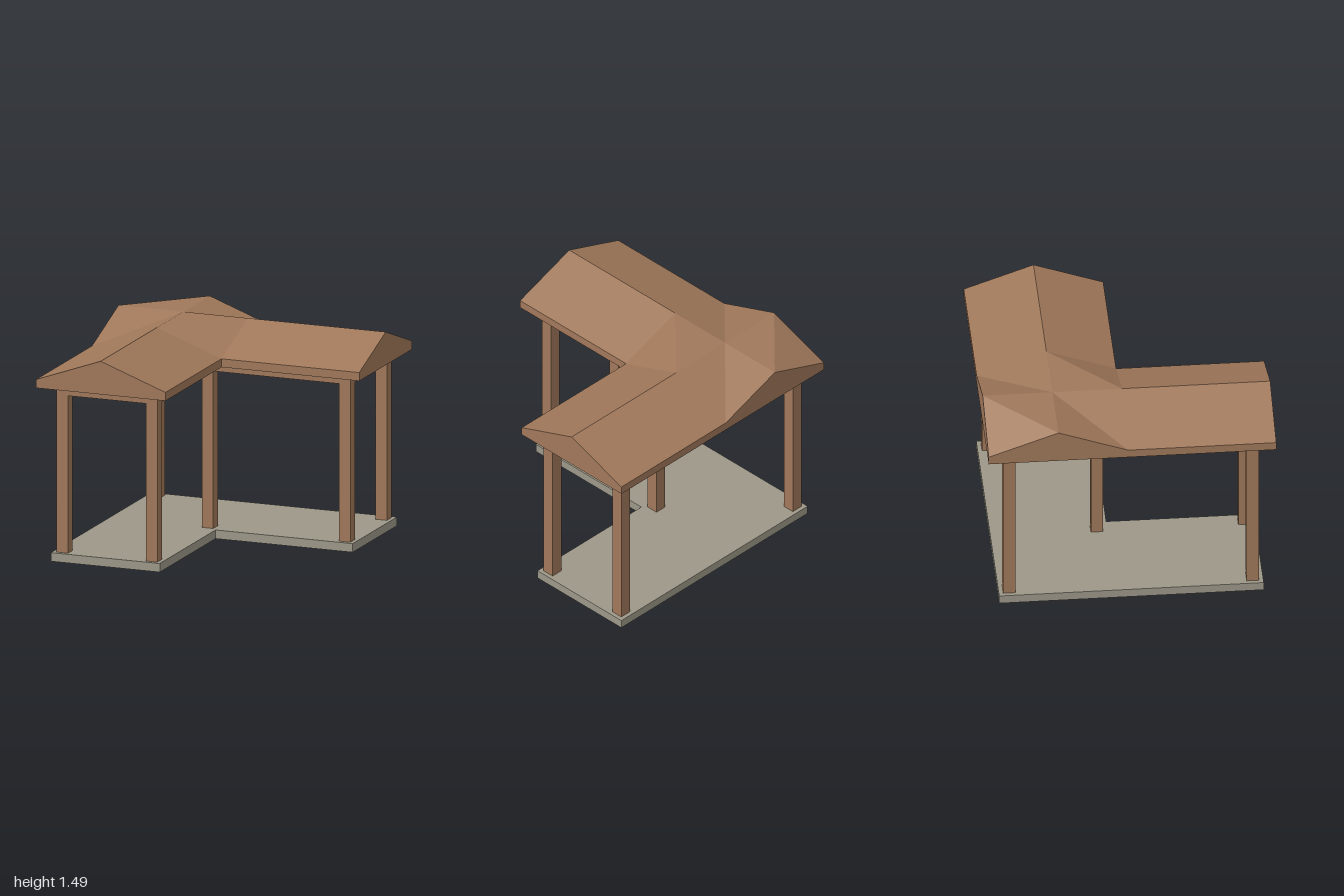
import * as THREE from 'three';

const wood = new THREE.MeshStandardMaterial({ color: 0xa0785a });
wood.name = 'wood brown';
const stone = new THREE.MeshStandardMaterial({ color: 0x9c9788 });
stone.name = 'stone grey';

// Key heights
const SLAB = 0.062, BEAM = 1.187, EAVE = 1.25, FASCIA = 1.31, RIDGE = 1.487;
// Roof plan lines, the same on x and z: outer edge, ridge, inner edge, wing end
const A = -1, M = -0.515, C = -0.03, D = 1;

const add = (parent, name, geometry, material) => {
  const mesh = new THREE.Mesh(geometry, material);
  mesh.name = name;
  parent.add(mesh);
  return mesh;
};

// L-shaped floor slab
function slabGeometry() {
  const o = 0.92, i = -0.105;
  const shape = new THREE.Shape(
    [[-o, -o], [i, -o], [i, -i], [o, -i], [o, o], [-o, o]].map(([x, y]) => new THREE.Vector2(x, y))
  );
  const g = new THREE.ExtrudeGeometry(shape, { depth: SLAB, bevelEnabled: false });
  return g.rotateX(-Math.PI / 2);
}

// Closed L-shaped roof: height depends only on whether a plan point lies on a ridge line
function roofGeometry() {
  const pos = [];
  const tri = (a, b, c) => pos.push(...a, ...b, ...c);
  const top = ([x, z]) => [x, x === M || z === M ? RIDGE : FASCIA, z];
  const base = ([x, z]) => [x, EAVE, z];
  // plan triangle, wound to face up or down
  const planTri = (a, b, c, lift, up) => {
    const ny = (b[1] - a[1]) * (c[0] - a[0]) - (b[0] - a[0]) * (c[1] - a[1]);
    if ((ny > 0) === up) tri(lift(a), lift(b), lift(c));
    else tri(lift(a), lift(c), lift(b));
  };
  const rect = (x0, x1, z0, z1, lift, up) => {
    planTri([x0, z1], [x1, z0], [x0, z0], lift, up);
    planTri([x0, z1], [x1, z0], [x1, z1], lift, up);
  };
  // crossing square: four cells, each creased along its diagonal
  for (const [x0, x1] of [[A, M], [M, C]])
    for (const [z0, z1] of [[A, M], [M, C]]) rect(x0, x1, z0, z1, top, true);
  // wing slopes
  for (const [s, e] of [[A, M], [M, C]]) {
    rect(C, D, s, e, top, true);
    rect(s, e, C, D, top, true);
  }
  // flat underside
  rect(A, D, A, C, base, false);
  rect(A, C, C, D, base, false);
  // fascia and gable walls
  const outline = [[A, D], [M, D], [C, D], [C, C], [D, C], [D, M], [D, A], [C, A], [M, A], [A, A], [A, M], [A, C]];
  outline.forEach((p, i) => {
    const q = outline[(i + 1) % outline.length];
    tri(base(p), base(q), top(q));
    tri(base(p), top(q), top(p));
  });
  const g = new THREE.BufferGeometry();
  g.setAttribute('position', new THREE.Float32BufferAttribute(pos, 3));
  g.computeVertexNormals();
  return g;
}

export function createModel() {
  const model = new THREE.Group();
  model.name = 'pavilion';
  add(model, 'floorSlab', slabGeometry(), stone);
  add(model, 'roof', roofGeometry(), wood);

  // Posts at the six corners, with beams joining each to the next
  const W = 0.086, o = 0.847, i = -0.179;
  const corners = [[-o, o], [i, o], [i, i], [o, i], [o, -o], [-o, -o]];
  const posts = new THREE.Group();
  posts.name = 'posts';
  const beams = new THREE.Group();
  beams.name = 'beams';
  corners.forEach(([x, z], k) => {
    add(posts, 'post', new THREE.BoxGeometry(W, BEAM - SLAB, W), wood)
      .position.set(x, (BEAM + SLAB) / 2, z);
    const [x2, z2] = corners[(k + 1) % corners.length];
    add(beams, 'beam', new THREE.BoxGeometry(Math.abs(x2 - x) + W, EAVE - BEAM, Math.abs(z2 - z) + W), wood)
      .position.set((x + x2) / 2, (EAVE + BEAM) / 2, (z + z2) / 2);
  });
  model.add(posts, beams);
  return model;
}
